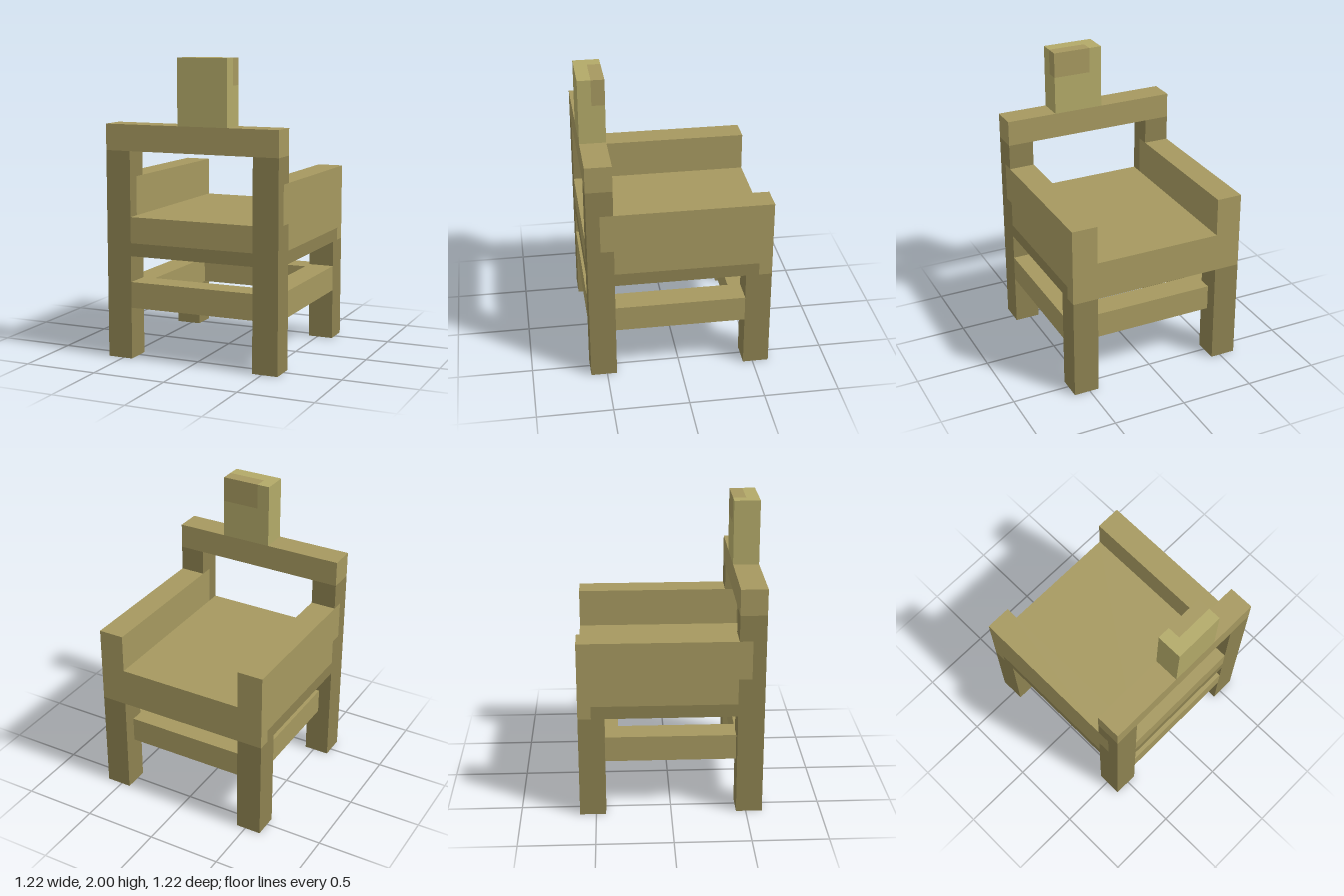
import * as THREE from 'three';

const U = 2 / 23; // block size: the chair is 23 blocks tall

const wood = new THREE.MeshStandardMaterial({ color: 0xa5985f });
const darkWood = new THREE.MeshStandardMaterial({ color: 0x8c8150 });
const paleWood = new THREE.MeshStandardMaterial({ color: 0xb2a968 });

// Box given by its extents, in blocks
function block(name, material, [x0, x1], [y0, y1], [z0, z1]) {
  const geometry = new THREE.BoxGeometry((x1 - x0) * U, (y1 - y0) * U, (z1 - z0) * U);
  const mesh = new THREE.Mesh(geometry, material);
  mesh.name = name;
  mesh.position.set((x0 + x1) / 2 * U, (y0 + y1) / 2 * U, (z0 + z1) / 2 * U);
  return mesh;
}

export function createModel() {
  const chair = new THREE.Group();
  chair.name = 'armchair';
  const add = (...args) => chair.add(block(...args));

  // Posts, short legs and arms, mirrored left and right
  for (const side of [1, -1]) {
    const label = side > 0 ? 'left' : 'right';
    const x = side > 0 ? [5, 7] : [-7, -5];
    add(label + 'PostLower', darkWood, x, [0, 11], [5, 7]);
    add(label + 'PostOuter', darkWood, x, [11, 14], [6, 7]);
    add(label + 'ArmJoint', wood, x, [11, 14], [5, 6]);
    add(label + 'PostUpper', darkWood, x, [14, 16], [5, 7]);
    add(label + 'ShortLeg', darkWood, x, [0, 8], [-7, -5]);
    add(label + 'Arm', wood, x, [9, 14], [-7, 5]);
    add(label + 'ArmUnderside', darkWood, x, [8, 9], [-6, 5]);
  }

  // Seat slab with its darker lower layer
  add('seat', wood, [-5, 5], [9, 11], [-7, 7]);
  add('seatUnderside', darkWood, [-5, 5], [8, 9], [-6, 7]);
  add('seatEdge', wood, [-7, 7], [8, 9], [-7, -6]);

  // Stretchers between the legs; two of them are set in from the outside
  add('frontStretcher', wood, [-5, 5], [4, 6], [5, 7]);
  add('rearStretcher', wood, [-5, 5], [4, 6], [-6, -4]);
  add('leftStretcher', wood, [5, 7], [4, 6], [-5, 5]);
  add('rightStretcher', wood, [-6, -4], [4, 6], [-5, 5]);

  // Top rail and the off-centre headrest with a darker corner
  add('topRail', wood, [-7, 7], [16, 18], [5, 7]);
  add('headrest', paleWood, [-1, 3], [18, 21], [5, 7]);
  add('headrestTop', paleWood, [-1, 3], [21, 23], [6, 7]);
  add('headrestEdge', paleWood, [-1, 0], [21, 23], [5, 6]);
  add('headrestCorner', wood, [0, 3], [21, 23], [5, 6]);

  return chair;
}
